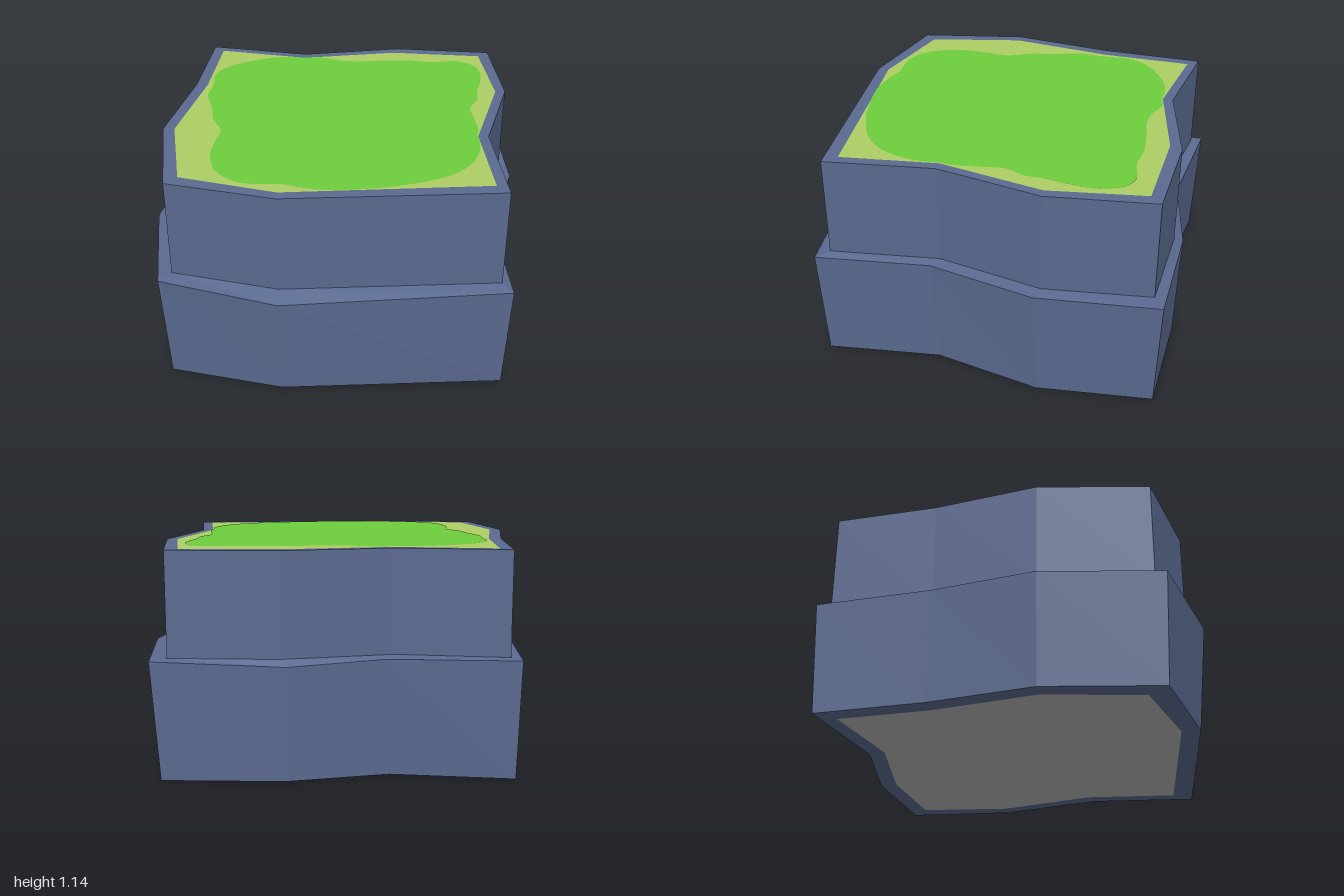
import * as THREE from 'three';

const material = (name, color) => new THREE.MeshStandardMaterial({ name, color });

// Corner loops [x, z], clockwise from above, starting at the back right corner
const base = [[-0.855, -0.95], [-0.23, -0.865], [0.29, -0.975], [0.905, -0.95], [0.965, -0.35], [0.835, 0.215],
  [0.905, 0.815], [-0.25, 0.93], [-0.855, 0.815], [-0.965, 0.205], [-0.88, -0.36]];
const ledge = [[-0.87, -0.975], [-0.21, -0.9], [0.28, -0.99], [0.945, -0.97], [1, -0.335], [0.86, 0.235],
  [0.925, 0.84], [-0.255, 0.985], [-0.88, 0.84], [-1, 0.21], [-0.905, -0.36]];
const upper = [[-0.82, -0.915], [-0.25, -0.83], [0.315, -0.945], [0.865, -0.915], [0.93, -0.36], [0.8, 0.2],
  [0.87, 0.775], [-0.255, 0.89], [-0.82, 0.775], [-0.93, 0.2], [-0.845, -0.36]];
const inner = [[-0.76, -0.855], [-0.25, -0.775], [0.285, -0.88], [0.805, -0.855], [0.875, -0.355], [0.745, 0.2],
  [0.805, 0.71], [-0.255, 0.83], [-0.76, 0.71], [-0.87, 0.2], [-0.78, -0.36]];
const ledgeHeights = [0.605, 0.6, 0.58, 0.605, 0.6, 0.6, 0.595, 0.578, 0.6, 0.6, 0.605];

// Wavy outline of the grass patch
const patch = [[-0.35, -0.775], [-0.25, -0.772], [-0.155, -0.782], [-0.04, -0.74], [0.07, -0.73], [0.22, -0.75],
  [0.39, -0.76], [0.52, -0.745], [0.67, -0.765], [0.755, -0.72], [0.8, -0.62], [0.8, -0.505], [0.77, -0.345],
  [0.765, -0.24], [0.72, -0.13], [0.735, 0], [0.75, 0.135], [0.742, 0.2], [0.75, 0.32], [0.705, 0.485],
  [0.595, 0.62], [0.38, 0.725], [0.19, 0.775], [-0.005, 0.8], [-0.13, 0.785], [-0.245, 0.755], [-0.395, 0.76],
  [-0.5, 0.725], [-0.595, 0.62], [-0.635, 0.465], [-0.63, 0.325], [-0.62, 0.205], [-0.68, 0.08], [-0.705, -0.05],
  [-0.755, -0.21], [-0.745, -0.345], [-0.75, -0.505], [-0.695, -0.61], [-0.555, -0.71], [-0.45, -0.755]];

// Lift a loop to one height, or to one height per corner
const at = (loop, y) => loop.map(([x, z], i) => [x, Array.isArray(y) ? y[i] : y, z]);

// Flat-shaded faces joining two loops of corners
function band(a, b) {
  const positions = [];
  a.forEach((p, i) => {
    const j = (i + 1) % a.length;
    for (const v of [p, b[i], b[j], p, b[j], a[j]]) positions.push(...v);
  });
  const geometry = new THREE.BufferGeometry();
  geometry.setAttribute('position', new THREE.Float32BufferAttribute(positions, 3));
  geometry.computeVertexNormals();
  return geometry;
}

// Horizontal face filling a loop, facing up or down
function cap(points, y, up = true) {
  const shape = new THREE.Shape(points.map(([x, z]) => new THREE.Vector2(x, up ? -z : z)));
  return new THREE.ShapeGeometry(shape).rotateX(up ? -Math.PI / 2 : Math.PI / 2).translate(0, y, 0);
}

export function createModel() {
  const group = new THREE.Group();
  const stone = material('blue stone', 0x5a6a90);
  const dryGrass = material('dry grass', 0xafce66);
  const grass = material('green grass', 0x6dce3c);
  const underside = material('grey underside', 0xb4b4b4);
  const add = (name, geometry, mat) => {
    const mesh = new THREE.Mesh(geometry, mat);
    mesh.name = name;
    group.add(mesh);
  };
  const top = 1.14;
  const step = 0.61;

  // Rock walls from the bottom rim up to the top rim
  add('bottomRim', band(at(inner, 0), at(base, 0)), stone);
  add('lowerWall', band(at(base, 0), at(ledge, ledgeHeights)), stone);
  add('ledge', band(at(ledge, ledgeHeights), at(upper, step)), stone);
  add('upperWall', band(at(upper, step), at(upper, top)), stone);
  add('topRim', band(at(upper, top), at(inner, top)), stone);

  // Ground on top and closed underside
  add('dryGround', cap(inner, top), dryGrass);
  add('underside', cap(inner, 0, false), underside);
  const outline = new THREE.CatmullRomCurve3(patch.map(([x, z]) => new THREE.Vector3(x, 0, z)), true);
  const smooth = outline.getPoints(160).slice(0, -1).map((p) => [p.x, p.z]);
  add('grassPatch', cap(smooth, top + 0.003), grass);

  return group;
}
